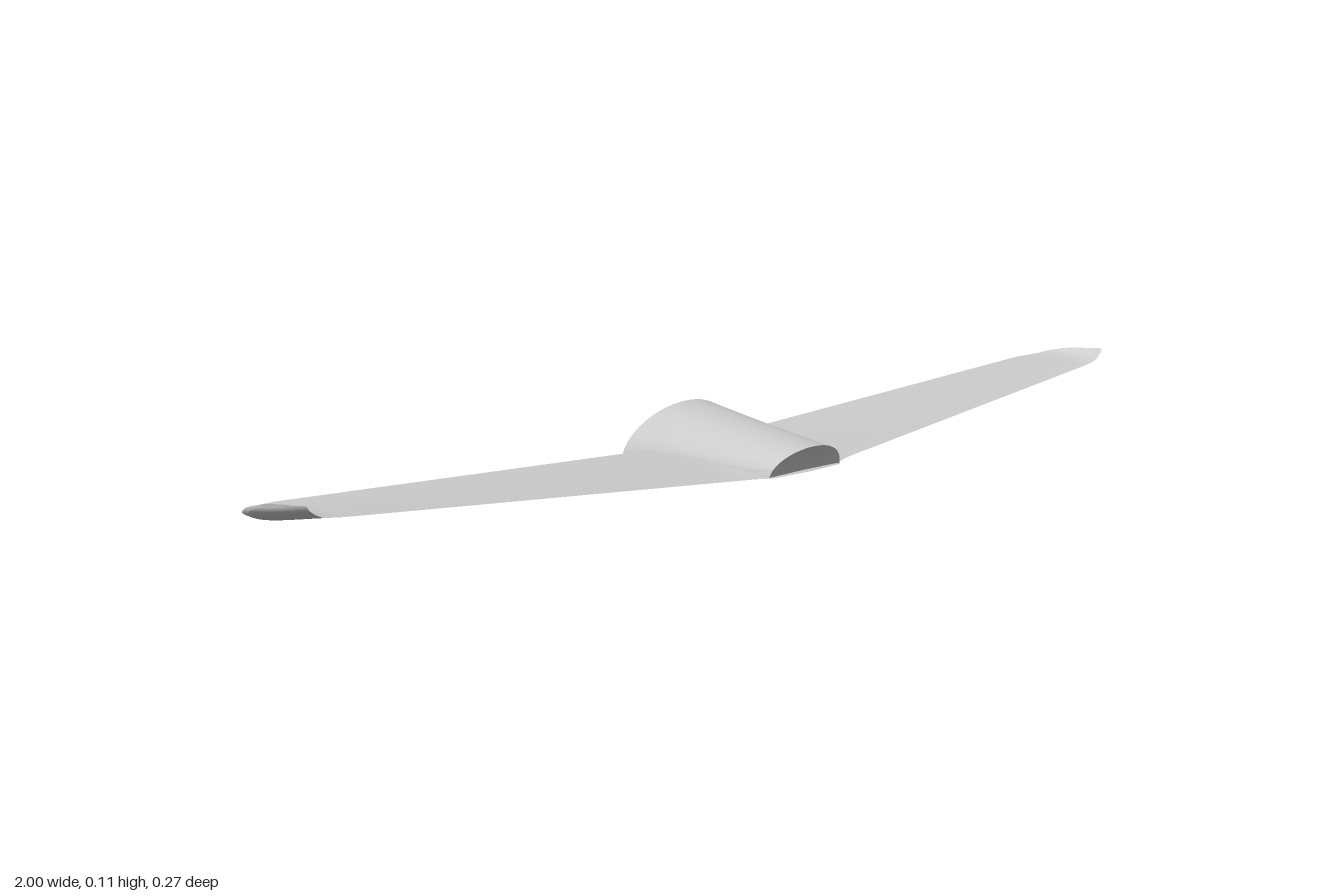
import * as THREE from 'three';
import { toCreasedNormals } from 'three/addons/utils/BufferGeometryUtils.js';

// Skin a list of equal-length closed rings and cap both ends with ruled strips.
function loft(rings, crease) {
  const n = rings[0].length, last = (rings.length - 1) * n;
  const index = [];
  const quad = (a, b, c, d) => index.push(a, b, d, b, c, d);
  for (let i = 0; i < rings.length - 1; i++) {
    for (let j = 0; j < n; j++) {
      const k = (j + 1) % n;
      quad(i * n + j, i * n + k, (i + 1) * n + k, (i + 1) * n + j);
    }
  }
  for (let j = 0; j < n / 2 - 1; j++) {
    const q = n - 1 - j;
    quad(q, q - 1, j + 1, j); // first ring
    quad(last + j, last + j + 1, last + q - 1, last + q); // last ring
  }
  const geometry = new THREE.BufferGeometry();
  geometry.setAttribute('position', new THREE.Float32BufferAttribute(rings.flat(2), 3));
  geometry.setIndex(index);
  return toCreasedNormals(geometry, crease);
}

// Airfoil ring: upper skin from leading to trailing edge, then lower skin back.
function airfoil([x, zLead, zTrail, yLead, yTrail, up, low]) {
  const N = 18, ring = [];
  const point = (j, h) => {
    const u = (j / N) ** 2;
    const y = yLead + (yTrail - yLead) * u + h * Math.sin(Math.PI * j / N);
    ring.push([x, y + 0.004 * x, zLead + (zTrail - zLead) * u]);
  };
  for (let j = 0; j <= N; j++) point(j, up);
  for (let j = N; j >= 0; j--) point(j, -low);
  return ring;
}

// Half-elliptic arch ring of the centre pod, t = 0 at the nose, 1 at the back.
function arch(t) {
  const N = 31, ring = [];
  const { lerp } = THREE.MathUtils;
  const halfWidth = 0.09 + 0.02 * t + 0.03 * t * t;
  const top = lerp(0.058, 0.108, t), base = 0.018;
  for (let j = 0; j <= N; j++) {
    const a = Math.PI * (1 - j / N);
    const s = Math.sin(a), c = Math.cos(a);
    const front = 0.127 + 0.01 * s - 0.008 * c * c;
    const back = -0.135 + 0.022 * s * s;
    ring.push([halfWidth * c, base + (top - base) * s, lerp(front, back, t)]);
  }
  return ring;
}

export function createModel() {
  const group = new THREE.Group();
  const grey = new THREE.MeshStandardMaterial({ color: 0xcccccc });
  grey.name = 'light grey';

  // Wing stations: x, leading z, trailing z, leading y, trailing y, upper and lower bulge
  const half = [
    [0, -0.135, 0.130, 0.020, 0.018, 0.025, 0.020],
    [0.085, -0.136, 0.125, 0.020, 0.018, 0.025, 0.020],
    [0.105, -0.136, 0.110, 0.020, 0.018, 0.025, 0.019],
    [0.140, -0.137, 0.099, 0.021, 0.019, 0.025, 0.018],
    [0.930, -0.117, 0.040, 0.066, 0.072, 0.013, 0.010],
    [0.970, -0.112, 0.037, 0.068, 0.076, 0.011, 0.009],
    [0.985, -0.104, 0.036, 0.071, 0.082, 0.009, 0.006],
    [0.995, -0.088, 0.035, 0.078, 0.089, 0.006, 0.004],
    [1.000, -0.060, 0.035, 0.086, 0.096, 0.003, 0.002],
  ];
  const mirrored = half.slice(1).reverse().map(([x, ...rest]) => [-x, ...rest]);
  const wing = new THREE.Mesh(loft([...mirrored, ...half].map(airfoil), 0.8), grey);
  wing.name = 'wing';
  group.add(wing);

  // Centre pod, growing wider and taller towards the rounded leading edge
  const steps = Array.from({ length: 11 }, (_, i) => i / 10);
  const pod = new THREE.Mesh(loft(steps.map(arch), 0.6), grey);
  pod.name = 'centrePod';
  group.add(pod);

  return group;
}
